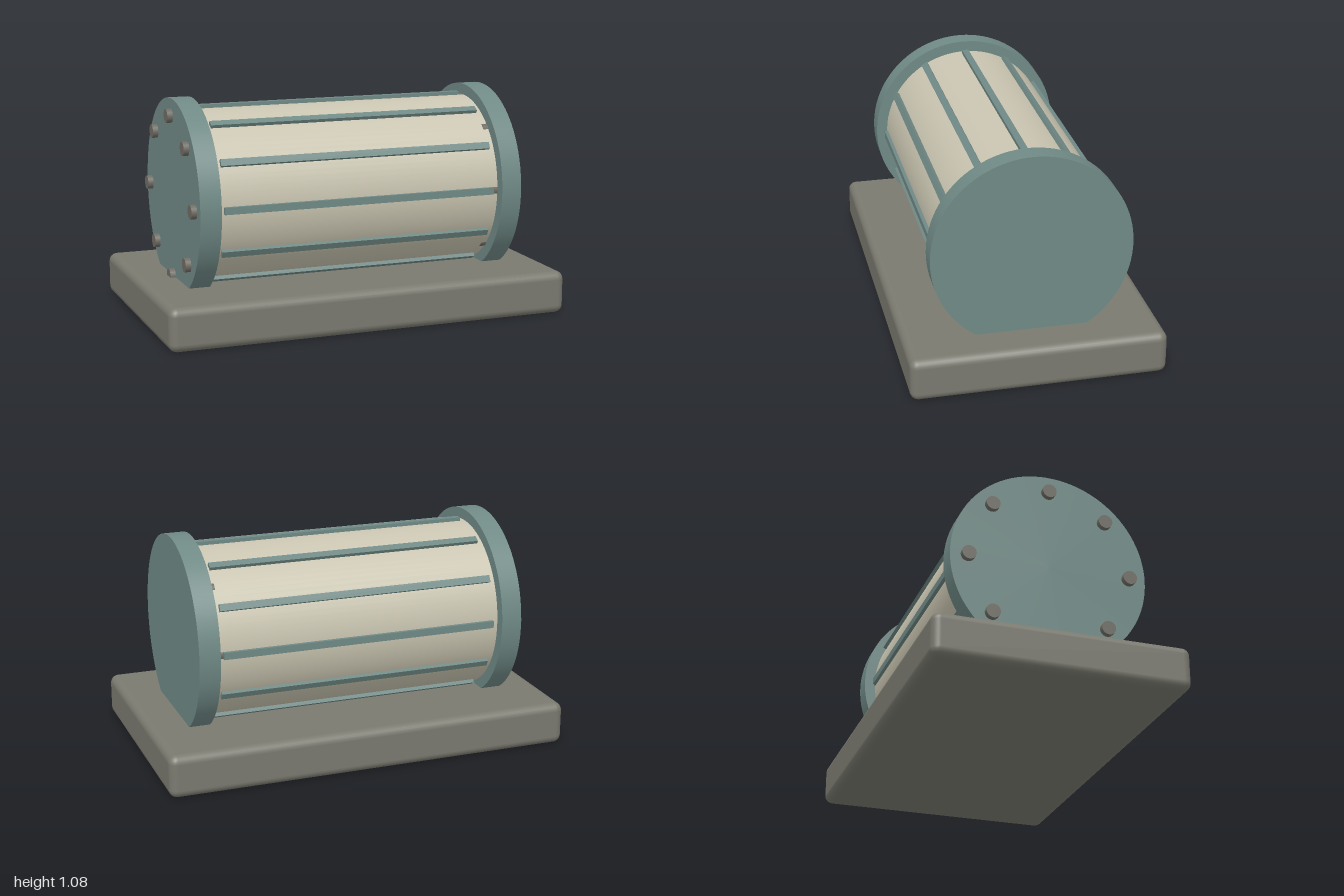
import * as THREE from 'three';
import { RoundedBoxGeometry } from 'three/addons/geometries/RoundedBoxGeometry.js';

const material = (name, color) => {
  const m = new THREE.MeshStandardMaterial({ color });
  m.name = name;
  return m;
};

export function createModel() {
  const teal = material('teal', 0x708a86);
  const cream = material('cream', 0xcac5b1);
  const baseGrey = material('base grey', 0x7a7a70);
  const boltGrey = material('bolt grey', 0x706d65);

  const model = new THREE.Group();
  model.name = 'drumMachine';

  const add = (parent, name, geometry, mat, x, y, z) => {
    const mesh = new THREE.Mesh(geometry, mat);
    mesh.name = name;
    mesh.position.set(x, y, z);
    parent.add(mesh);
    return mesh;
  };
  // Cylinder lying along x
  const rod = (radius, length, sides) =>
    new THREE.CylinderGeometry(radius, radius, length, sides).rotateZ(Math.PI / 2);

  // Rounded plinth
  add(model, 'base', new RoundedBoxGeometry(2, 0.208, 1.208, 3, 0.04), baseGrey, 0, 0.104, 0);

  // Everything on the drum axis
  const drum = new THREE.Group();
  drum.name = 'drum';
  drum.position.y = 0.602;
  model.add(drum);
  add(drum, 'drumBody', rod(0.42, 1.48, 96), cream, 0, 0, 0);

  // Cooling fins along the body
  const fin = new THREE.BoxGeometry(1.368, 0.034, 0.034);
  for (let i = 0; i < 12; i++) {
    const a = (i * Math.PI) / 6;
    add(drum, 'fin', fin, teal, 0, 0.42 * Math.cos(a), 0.42 * Math.sin(a)).rotation.x = a;
  }

  // End flanges, each with a ring of bolts on its -x side
  const flange = rod(0.474, 0.102, 96);
  const bolt = rod(0.034, 0.046, 20);
  for (const x of [-0.762, 0.762]) {
    add(drum, 'flange', flange, teal, x, 0, 0);
    for (let i = 0; i < 8; i++) {
      const a = (i * Math.PI) / 4;
      add(drum, 'bolt', bolt, boltGrey, x - 0.055, 0.39 * Math.cos(a), 0.39 * Math.sin(a));
    }
  }

  return model;
}
